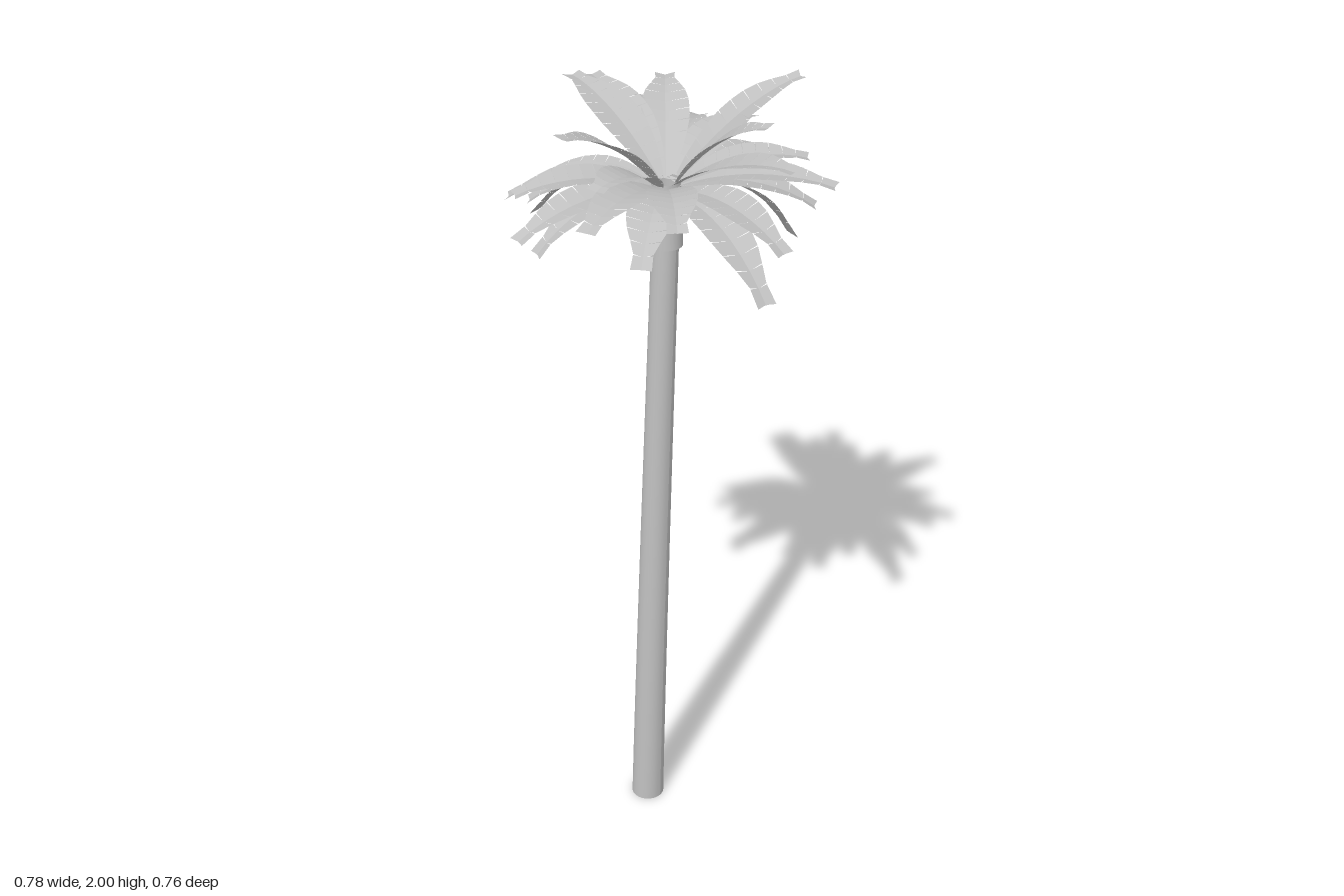
import * as THREE from 'three';

const palm = new THREE.MeshStandardMaterial({ color: 0xc0c0c0, side: THREE.DoubleSide });
palm.name = 'palm grey';

// Frond tips: x, y, z, going round the crown
const TIPS = [
  [-0.015, 1.61, -0.38], [0.115, 1.92, -0.37], [0.165, 1.91, -0.35], [0.2, 1.83, -0.305],
  [0.255, 1.85, -0.265], [0.29, 1.9, -0.225], [0.335, 1.8, -0.155], [0.35, 1.83, -0.01],
  [0.385, 1.735, 0.06], [0.335, 1.56, 0.125], [0.27, 2.0, 0.18], [0.205, 1.84, 0.25],
  [0.18, 1.74, 0.29], [0.145, 1.82, 0.365], [0.035, 1.97, 0.255], [-0.01, 1.91, 0.36],
  [-0.05, 1.73, 0.365], [-0.13, 1.64, 0.375], [-0.24, 1.81, 0.215], [-0.285, 1.72, 0.15],
  [-0.36, 1.81, 0.06], [-0.265, 1.86, 0.01], [-0.305, 1.98, -0.05], [-0.38, 1.745, -0.12],
  [-0.29, 1.67, -0.145], [-0.29, 1.8, -0.205], [-0.19, 1.74, -0.25], [-0.19, 1.73, -0.315],
  [-0.115, 1.73, -0.32],
];

// Half width of a frond along its length
const WIDTH = [[0, 0.014], [0.1, 0.03], [0.25, 0.047], [0.42, 0.057], [0.58, 0.055],
  [0.72, 0.045], [0.82, 0.031], [0.89, 0.022], [1, 0.024]];
function halfWidth(t) {
  let i = 1;
  while (i < WIDTH.length - 1 && t > WIDTH[i][0]) i++;
  const [a, wa] = WIDTH[i - 1], [b, wb] = WIDTH[i];
  return wa + (wb - wa) * (t - a) / (b - a);
}

// Arched frond of leaflets with raised edges, slit from the edge to near the midrib
function frond([x, y, z]) {
  const reach = Math.hypot(x, z), out = new THREE.Vector3(x / reach, 0, z / reach);
  const side = new THREE.Vector3(out.z, 0, -out.x);
  const droop = Math.max(0, 1.8 - y);
  const rootY = 1.78 + (y - 1.8) * 0.08;
  const root = out.clone().multiplyScalar(0.03).setY(rootY);
  const bend = out.clone().multiplyScalar(reach * (0.53 + droop * 0.3));
  bend.y = (rootY + y) / 2 + 0.07 + droop * 0.3;
  const rib = new THREE.QuadraticBezierCurve3(root, bend, new THREE.Vector3(x, y, z));

  const at = (t, s) => {
    const w = halfWidth(t);
    const p = rib.getPoint(t).addScaledVector(side, s * w);
    p.y += (Math.abs(s) - 0.5) * w * 0.2;
    return p;
  };
  const pos = [];
  const quad = (a, b, c, d) => [a, b, c, a, c, d].forEach((p) => pos.push(p.x, p.y, p.z));
  const n = 10;
  for (let i = 0; i < n; i++) {
    const t0 = i / n, t1 = (i + 1) / n, last = i === n - 1;
    const tipRib = last ? 0.985 : t1;         // notched end
    const tipEdge = last ? 1 : t1 - 0.006;    // slit between leaflets
    for (const s of [-1, 1]) {
      const inner0 = at(t0, s * 0.15), outer0 = at(t0, s);
      const inner1 = at(tipRib, s * 0.15), outer1 = at(tipEdge, s);
      const m0 = at(t0, 0), m1 = at(tipRib, 0);
      if (s > 0) {
        quad(m0, m1, inner1, inner0);
        quad(inner0, inner1, outer1, outer0);
      } else {
        quad(m0, inner0, inner1, m1);
        quad(inner0, outer0, outer1, inner1);
      }
    }
  }
  const g = new THREE.BufferGeometry();
  g.setAttribute('position', new THREE.Float32BufferAttribute(pos, 3));
  g.computeVertexNormals();
  return g;
}

export function createModel() {
  const tree = new THREE.Group();
  tree.name = 'palmTree';
  const add = (geometry, name, parent = tree) => {
    const mesh = new THREE.Mesh(geometry, palm);
    mesh.name = name;
    parent.add(mesh);
  };

  // Leaning, gently curved trunk, open at both ends
  const height = 1.66;
  const trunk = new THREE.CylinderGeometry(0.032, 0.042, height, 24, 10, true);
  trunk.translate(0, height / 2, 0);
  const p = trunk.attributes.position;
  for (let i = 0; i < p.count; i++) {
    const u = p.getY(i) / height;
    p.setX(i, p.getX(i) - 0.042 + 0.04 * Math.pow(u, 1.2));
    p.setZ(i, p.getZ(i) - 0.03 + 0.03 * u);
  }
  trunk.computeVertexNormals();
  add(trunk, 'trunk');

  // Sleeve the fronds grow from
  const sleeve = new THREE.CylinderGeometry(0.034, 0.039, 0.16, 24, 1, true);
  sleeve.translate(0.001, 1.71, 0);
  add(sleeve, 'crownSleeve');

  // Crown
  const crown = new THREE.Group();
  crown.name = 'crown';
  tree.add(crown);
  TIPS.forEach((tip) => add(frond(tip), 'frond', crown));
  return tree;
}
